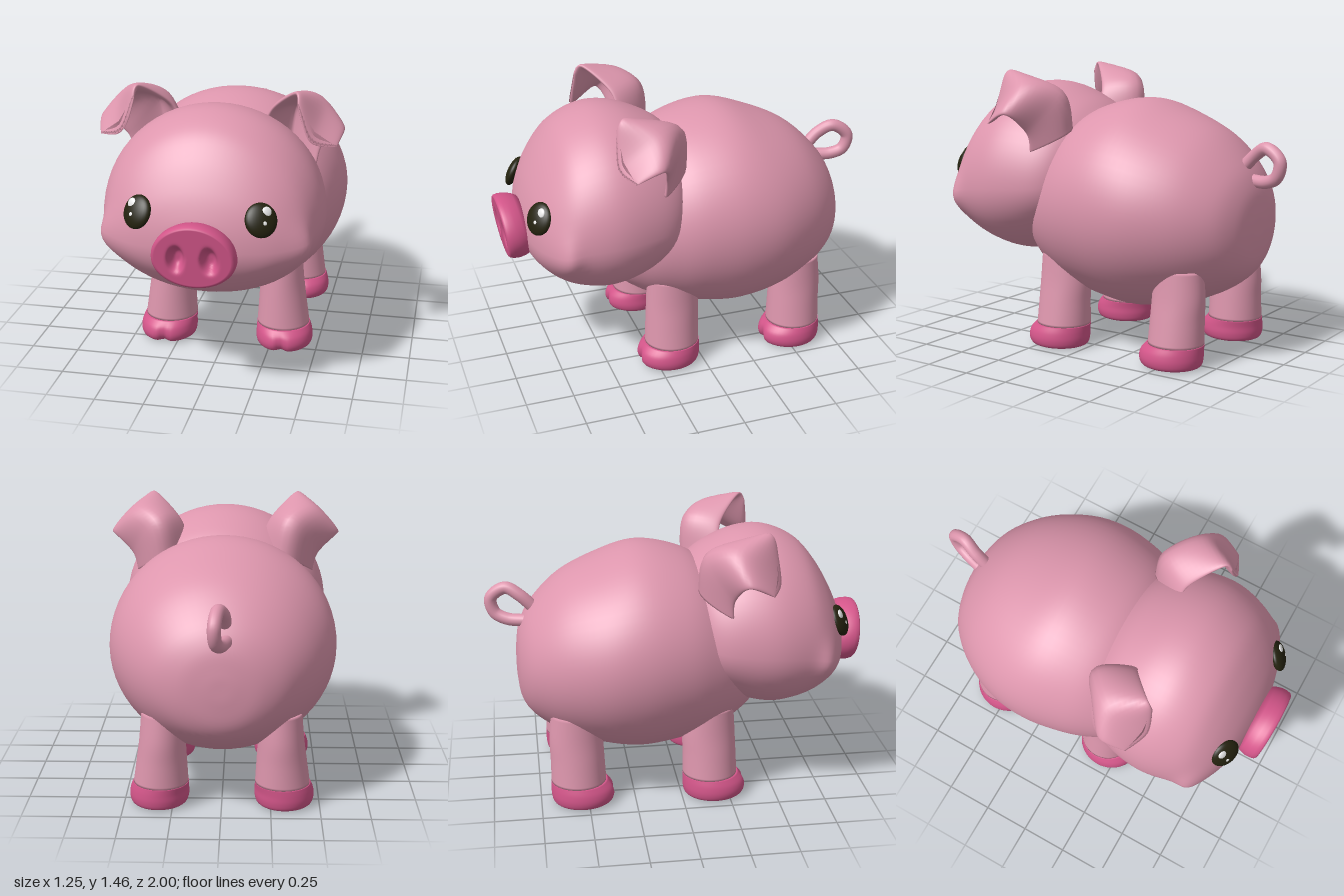
import * as THREE from 'three';
import { mergeVertices } from 'three/addons/utils/BufferGeometryUtils.js';

const V = (x, y, z) => new THREE.Vector3(x, y, z);
const mat = (name, hex) => {
  const m = new THREE.MeshStandardMaterial({ color: hex });
  m.name = name;
  return m;
};

// Skin a list of closed rings, cap both ends, and face all triangles outwards
function loft(rings) {
  const n = rings[0].length, pos = [], idx = [];
  const centre = r => r.reduce((a, p) => a.add(p), V(0, 0, 0)).divideScalar(n);
  rings.flat().forEach(p => pos.push(p.x, p.y, p.z));
  for (let i = 0; i < rings.length - 1; i++) for (let j = 0; j < n; j++) {
    const a = i * n + j, b = i * n + (j + 1) % n;
    idx.push(a, b, a + n, b, b + n, a + n);
  }
  const last = (rings.length - 1) * n, c0 = last + n;
  for (const r of [rings[0], rings[rings.length - 1]]) pos.push(...centre(r).toArray());
  for (let j = 0; j < n; j++) {
    const k = (j + 1) % n;
    idx.push(c0, k, j, c0 + 1, last + j, last + k);
  }
  let volume = 0;
  const at = i => V(pos[i * 3], pos[i * 3 + 1], pos[i * 3 + 2]);
  for (let i = 0; i < idx.length; i += 3) volume += at(idx[i]).dot(at(idx[i + 1]).cross(at(idx[i + 2])));
  if (volume < 0) idx.reverse();
  const g = new THREE.BufferGeometry();
  g.setAttribute('position', new THREE.Float32BufferAttribute(pos, 3));
  g.setIndex(idx);
  g.computeVertexNormals();
  return g;
}

// Smooth interpolation through rows of numbers, t in 0..1
function sample(rows, t) {
  const f = t * (rows.length - 1), i = Math.min(Math.floor(f), rows.length - 2), u = f - i;
  const row = k => rows[Math.max(0, Math.min(rows.length - 1, k))];
  return rows[0].map((_, c) => {
    const [a, b, d, e] = [-1, 0, 1, 2].map(k => row(i + k)[c]);
    return b + 0.5 * u * (d - a + u * (2 * a - 5 * b + 4 * d - e + u * (3 * (b - d) + e - a)));
  });
}

// Rounded hull along z; stations are [z, top, bottom, height of widest line, half width]
function hull(stations, steps, warp = p => p) {
  const rings = [];
  for (let i = 0; i <= steps; i++) {
    const [z, top, bottom, mid, w] = sample(stations, i / steps);
    rings.push(Array.from({ length: 64 }, (_, j) => {
      const a = j / 64 * Math.PI * 2, s = Math.sin(a);
      return warp(V(w * Math.cos(a), mid + s * (s > 0 ? top - mid : mid - bottom), z));
    }));
  }
  return loft(rings);
}

// Upright limb; rows are [y, centre x, centre z, radius x, radius z]
function limb(rows, side, dz, notch) {
  const rings = [];
  for (let i = 0; i <= 20; i++) {
    const [y, cx, cz, rx, rz] = sample(rows, i / 20);
    rings.push(Array.from({ length: 48 }, (_, j) => {
      const a = j / 48 * Math.PI * 2, x = rx * Math.cos(a), s = Math.sin(a);
      const cut = s > 0 ? notch * Math.exp(-((x / 0.025) ** 2)) * Math.max(0, 1 - y / 0.12) : 0;
      return V(side * (cx + x), y, cz + dz + rz * s - cut);
    }));
  }
  return loft(rings);
}

// Folded ear: a curved sheet of rows (base to tip) with lens-shaped thickness
function ear(side) {
  const rows = [
    [0.20, 1.22, 0.28, 0.33, 1.15, 0.11, 0.48, 1.05, 0.24],
    [0.26, 1.34, 0.30, 0.37, 1.33, 0.13, 0.51, 1.15, 0.24],
    [0.39, 1.455, 0.42, 0.50, 1.375, 0.28, 0.62, 1.25, 0.29],
    [0.41, 1.41, 0.46, 0.475, 1.23, 0.475, 0.60, 1.195, 0.42],
  ];
  const point = (u, v) => {
    const r = sample(rows, v);
    return V(...sample([r.slice(0, 3), r.slice(3, 6), r.slice(6, 9)], u));
  };
  const rings = [];
  for (let i = 0; i <= 28; i++) {
    const v = i / 28, thick = 0.026 * Math.sqrt(1 - v ** 6 * 0.98);
    rings.push(Array.from({ length: 48 }, (_, j) => {
      const a = j / 48 * Math.PI * 2, u = (1 - Math.cos(a)) / 2;
      const u0 = Math.max(0, u - 0.02), u1 = Math.min(1, u + 0.02);
      const v0 = Math.max(0, v - 0.02), v1 = Math.min(1, v + 0.02);
      const n = point(u1, v).sub(point(u0, v)).cross(point(u, v1).sub(point(u, v0))).normalize();
      const p = point(u, v).addScaledVector(n, thick * Math.sin(a));
      p.x *= side;
      return p;
    }));
  }
  return loft(rings);
}

// Oval snout disc with two pressed-in nostrils
function snout() {
  const profile = [[0, -0.08], [0.86, -0.08], [0.95, -0.05], [1, -0.015], [1, 0.015], [0.975, 0.035], [0.93, 0.043]];
  for (let i = 1; i <= 26; i++) profile.push([0.93 * (1 - i / 26), 0.043]);
  let g = new THREE.LatheGeometry(profile.map(p => new THREE.Vector2(...p)), 80);
  g.rotateX(Math.PI / 2);
  g.deleteAttribute('uv');
  g.deleteAttribute('normal');
  const p = g.attributes.position;
  for (let i = 0; i < p.count; i++) {
    const x = p.getX(i) * 0.205, y = p.getY(i) * 0.163;
    let z = p.getZ(i);
    if (z > 0.04) {
      const d = ((Math.abs(x) - 0.08) / 0.035) ** 2 + ((y + 0.012) / 0.058) ** 2;
      z -= 0.055 * Math.exp(-d * d);
    }
    p.setXYZ(i, x * (1 - y * 0.4), y, z + y * 0.12);
  }
  g = mergeVertices(g, 1e-4);
  g.computeVertexNormals();
  return g;
}

export function createModel() {
  const pink = mat('skin pink', 0xdd96ad);
  const rose = mat('snout and hoof rose', 0xd4568a);
  const dark = mat('eye dark', 0x24220f);
  const white = mat('eye highlight', 0xf2f2f2);
  const model = new THREE.Group();
  model.name = 'pig';
  const add = (name, geo, m, parent = model) => {
    const mesh = new THREE.Mesh(geo, m);
    mesh.name = name;
    parent.add(mesh);
    return mesh;
  };

  add('body', hull([
    [-0.845, 0.70, 0.70, 0.70, 0], [-0.842, 0.78, 0.61, 0.70, 0.09], [-0.82, 0.90, 0.49, 0.70, 0.22],
    [-0.75, 1.02, 0.40, 0.72, 0.35], [-0.6, 1.16, 0.31, 0.74, 0.48], [-0.4, 1.255, 0.245, 0.76, 0.57],
    [-0.2, 1.315, 0.215, 0.77, 0.59], [0, 1.285, 0.24, 0.77, 0.56], [0.15, 1.21, 0.28, 0.75, 0.505],
    [0.3, 1.05, 0.35, 0.72, 0.41], [0.42, 0.9, 0.46, 0.68, 0.25], [0.46, 0.68, 0.68, 0.68, 0],
  ], 55), pink);

  // Head with puffed cheeks
  add('head', hull([
    [-0.05, 0.88, 0.88, 0.88, 0], [0, 1.14, 0.7, 0.9, 0.25], [0.1, 1.245, 0.62, 0.88, 0.42],
    [0.2, 1.31, 0.56, 0.86, 0.505], [0.35, 1.37, 0.475, 0.85, 0.55], [0.5, 1.375, 0.445, 0.84, 0.56],
    [0.65, 1.31, 0.475, 0.82, 0.525], [0.75, 1.2, 0.53, 0.8, 0.465], [0.83, 1.06, 0.61, 0.78, 0.365],
    [0.875, 0.94, 0.68, 0.78, 0.22], [0.889, 0.86, 0.73, 0.79, 0.09], [0.892, 0.79, 0.79, 0.79, 0],
  ], 66, p => {
    const d = ((Math.abs(p.x) - 0.46) / 0.12) ** 2 + ((p.y - 0.77) / 0.11) ** 2 + ((p.z - 0.75) / 0.07) ** 2;
    p.x += Math.sign(p.x) * 0.045 * Math.exp(-d);
    return p;
  }), pink);

  add('snout', snout(), rose).position.set(0, 0.783, 0.94);

  // Curled tail
  const curl = new THREE.CatmullRomCurve3([
    V(-0.02, 0.98, -0.73), V(-0.015, 1.06, -0.81), V(0.01, 1.098, -0.885), V(0.025, 1.04, -0.963),
    V(0.02, 0.96, -0.945), V(0, 0.928, -0.88), V(-0.03, 0.925, -0.78),
  ]);
  add('tail', new THREE.TubeGeometry(curl, 60, 0.033, 16), pink);

  for (const side of [1, -1]) {
    const label = side > 0 ? 'left' : 'right';
    add(label + 'Ear', ear(side), pink);

    // Glossy eye, tilted to lie on the face
    const eye = new THREE.Group();
    eye.name = label + 'Eye';
    eye.position.set(side * 0.3, 0.943, 0.836);
    eye.rotation.set(-0.42, side * 0.5, 0, 'YXZ');
    model.add(eye);
    const dome = (name, r, m, x, y, z, flat) => {
      const mesh = add(name, new THREE.SphereGeometry(r, 32, 20), m, eye);
      mesh.position.set(side * x, y, z);
      mesh.scale.set(0.95, 1, flat);
    };
    dome('eyeball', 0.084, dark, 0, 0, 0, 0.4);
    dome('largeHighlight', 0.025, white, 0.025, 0.035, 0.025, 0.35);
    dome('smallHighlight', 0.01, white, 0.008, -0.018, 0.032, 0.35);

    // Legs with hooves
    for (const [end, dz] of [['Front', 0], ['Back', -0.703]]) {
      add(label + end + 'Leg', limb([
        [0.12, 0.31, 0.155, 0.14, 0.145], [0.24, 0.305, 0.152, 0.128, 0.142],
        [0.36, 0.3, 0.148, 0.117, 0.14], [0.5, 0.295, 0.15, 0.11, 0.13],
      ], side, dz, 0), pink);
      add(label + end + 'Hoof', limb([
        [0.12, 0.311, 0.157, 0.142, 0.148], [0.085, 0.318, 0.172, 0.149, 0.164],
        [0.045, 0.32, 0.177, 0.152, 0.168], [0.012, 0.32, 0.175, 0.142, 0.156], [0, 0.32, 0.172, 0.115, 0.125],
      ], side, dz, 0.035), rose);
    }
  }
  return model;
}
